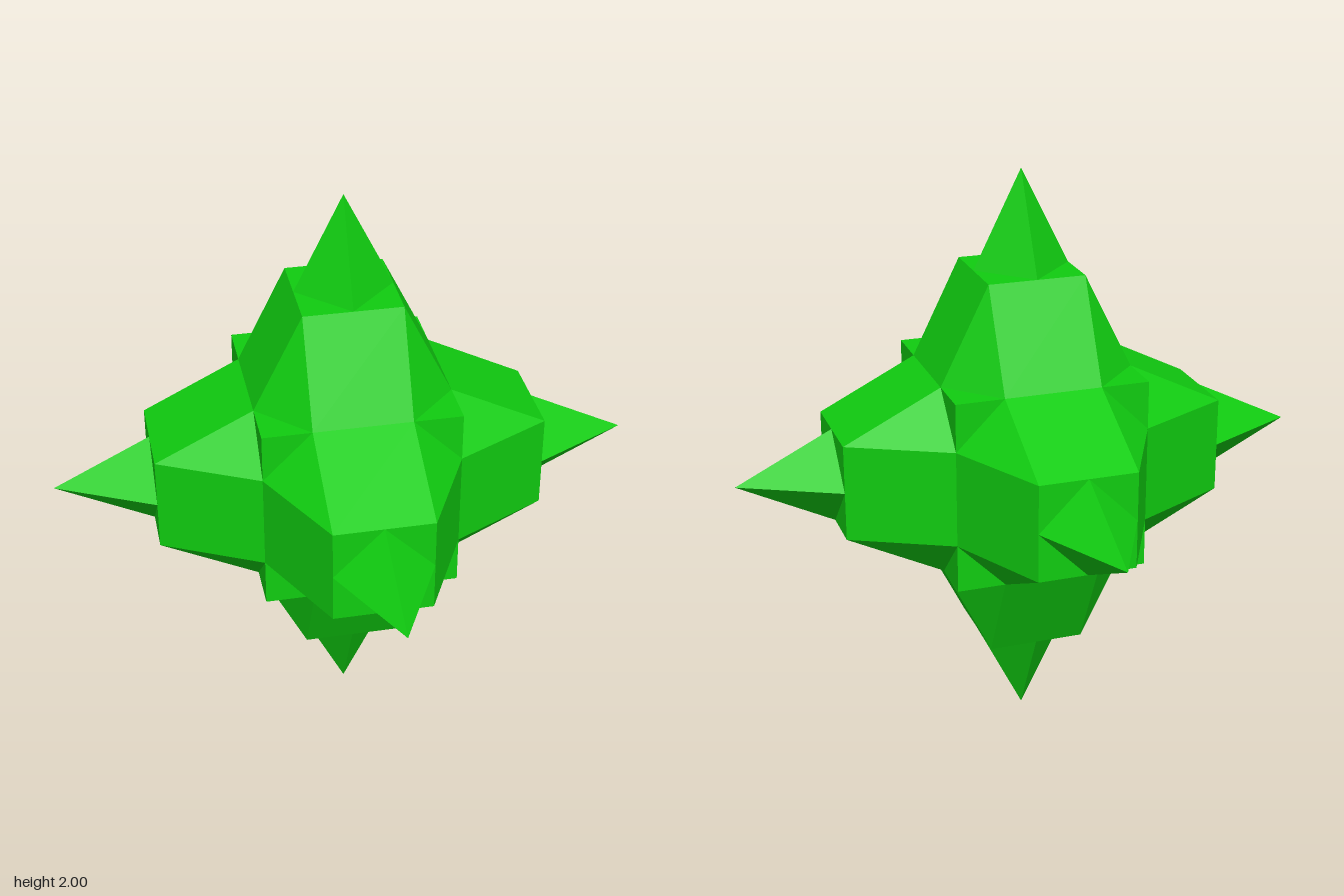
import * as THREE from 'three';
import { ConvexGeometry } from 'three/addons/geometries/ConvexGeometry.js';

const U = 1 / 6; // all vertices lie on a grid of sixths

export function createModel() {
  const group = new THREE.Group();
  group.name = 'stellatedSolid';
  const material = new THREE.MeshStandardMaterial({ color: 0x10cc10, flatShading: true });

  // Core cube: only its eight corners stay exposed
  const core = new THREE.Mesh(new THREE.BoxGeometry(4 * U, 4 * U, 4 * U), material);
  core.name = 'coreCube';
  core.position.y = 1;
  group.add(core);

  // Tapered block: octagonal base on a cube face, square top
  const points = [];
  for (const sx of [-1, 1]) {
    for (const sz of [-1, 1]) {
      points.push(
        new THREE.Vector3(sx, 4, sz),
        new THREE.Vector3(sx, 2, 2 * sz),
        new THREE.Vector3(2 * sx, 2, sz)
      );
    }
  }
  const blockGeometry = new ConvexGeometry(points.map((p) => p.multiplyScalar(U)));

  // Four-sided spike whose base corners meet the midpoints of the block's top edges
  const spikeGeometry = new THREE.ConeGeometry(U, 2 * U, 4, 1, true);
  spikeGeometry.translate(0, 5 * U, 0);

  // One arm per axis direction
  const up = new THREE.Vector3(0, 1, 0);
  const arms = {
    top: [0, 1, 0], bottom: [0, -1, 0],
    left: [1, 0, 0], right: [-1, 0, 0],
    front: [0, 0, 1], back: [0, 0, -1],
  };
  for (const [side, direction] of Object.entries(arms)) {
    const arm = new THREE.Group();
    arm.name = side + 'Arm';
    const block = new THREE.Mesh(blockGeometry, material);
    block.name = side + 'Block';
    const spike = new THREE.Mesh(spikeGeometry, material);
    spike.name = side + 'Spike';
    arm.add(block, spike);
    arm.quaternion.setFromUnitVectors(up, new THREE.Vector3(...direction));
    arm.position.y = 1;
    group.add(arm);
  }
  return group;
}
